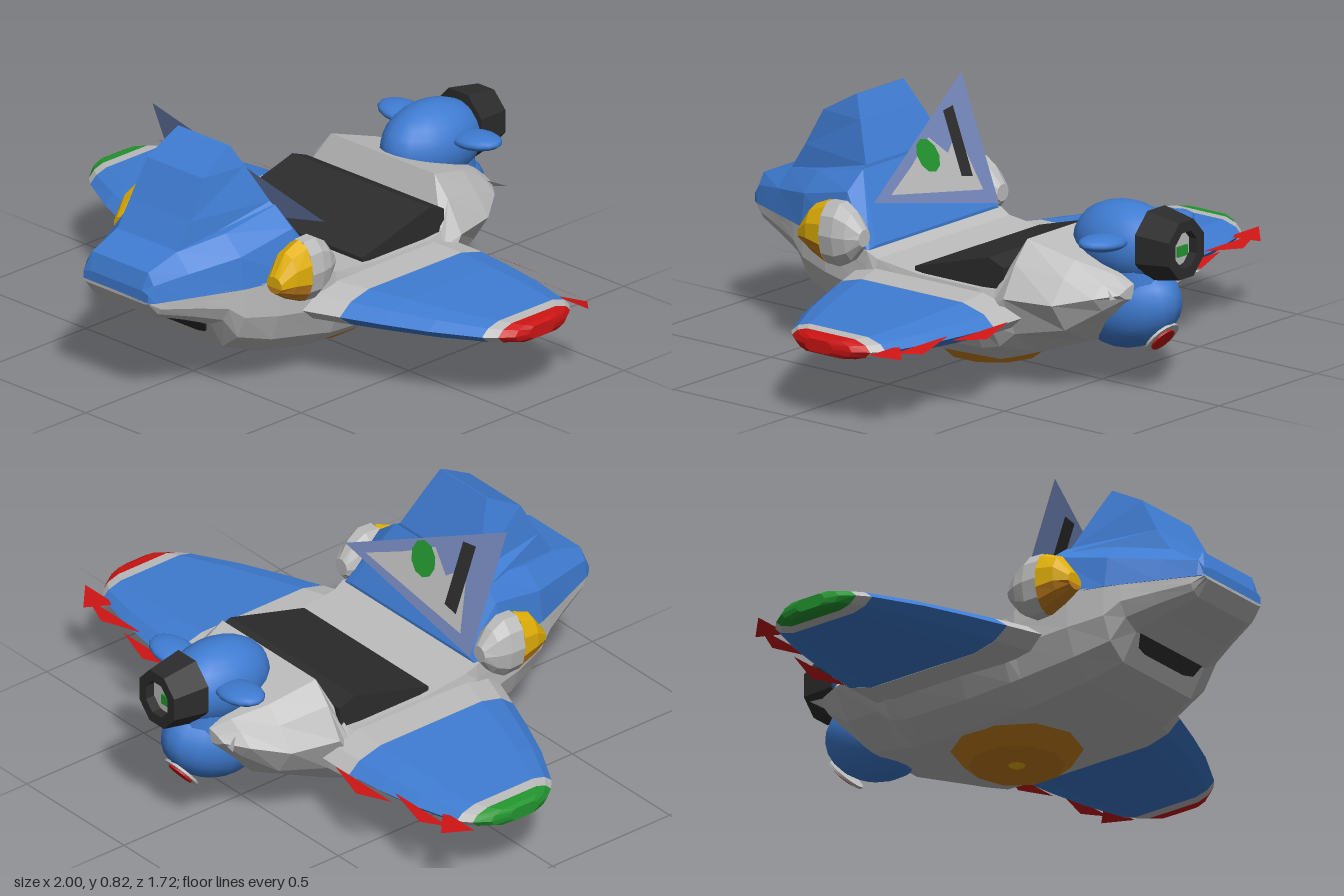
import * as THREE from 'three';

const mat = (name, color) => {
  const m = new THREE.MeshStandardMaterial({ color, side: THREE.DoubleSide });
  m.name = name;
  return m;
};

// Skin a list of cross-sections (arrays of [x, y, z]) and cap both ends, flat shaded
function loft(sections) {
  const n = sections[0].length, pos = [], idx = [];
  sections.forEach(s => s.forEach(p => pos.push(...p)));
  for (let i = 0; i < sections.length - 1; i++)
    for (let j = 0; j < n; j++) {
      const a = i * n + j, b = i * n + (j + 1) % n;
      idx.push(a, b, a + n, b, b + n, a + n);
    }
  const last = (sections.length - 1) * n;
  for (let j = 1; j < n - 1; j++) idx.push(0, j + 1, j, last, last + j, last + j + 1);
  return flat(pos, idx);
}

function flat(pos, idx) {
  let g = new THREE.BufferGeometry();
  g.setAttribute('position', new THREE.Float32BufferAttribute(pos, 3));
  if (idx) { g.setIndex(idx); g = g.toNonIndexed(); }
  g.computeVertexNormals();
  return g;
}

// Mirror half a cross-section, listed from bottom to top, into a closed loop at z
const ring = (z, half) => [
  ...half.map(([x, y]) => [x, y, z]),
  ...half.slice().reverse().map(([x, y]) => [-x, y, z]),
];

export function createModel() {
  const group = new THREE.Group();
  const blue = mat('blue', 0x3f7cd2), grey = mat('light grey', 0xbcbcbc), dark = mat('charcoal', 0x2c2c2c);
  const red = mat('red', 0xcc1414), green = mat('green', 0x23952f), yellow = mat('yellow', 0xe2b007);
  const orange = mat('orange', 0xc8801e), slate = mat('slate blue', 0x7488bc);
  const add = (name, geo, m, x = 0, y = 0, z = 0) => {
    const mesh = new THREE.Mesh(geo, m);
    mesh.name = name;
    mesh.position.set(x, y, z);
    group.add(mesh);
    return mesh;
  };

  // Lower hull: z, half width, bottom y, top y, bottom half width, top half width
  add('hull', loft([
    [0.86, 0.15, 0.385, 0.395, 0.13, 0.15],
    [0.82, 0.17, 0.33, 0.395, 0.13, 0.17],
    [0.70, 0.22, 0.29, 0.395, 0.16, 0.222],
    [0.60, 0.265, 0.25, 0.395, 0.18, 0.265],
    [0.545, 0.285, 0.155, 0.395, 0.18, 0.285],
    [0.42, 0.32, 0.11, 0.395, 0.21, 0.32],
    [0.22, 0.35, 0.075, 0.38, 0.23, 0.345],
    [0.18, 0.36, 0.072, 0.36, 0.23, 0.34],
    [0.00, 0.365, 0.065, 0.34, 0.23, 0.34],
    [-0.25, 0.365, 0.07, 0.34, 0.22, 0.34],
    [-0.32, 0.365, 0.09, 0.345, 0.2, 0.33],
    [-0.38, 0.365, 0.11, 0.51, 0.18, 0.24],
    [-0.55, 0.32, 0.165, 0.46, 0.12, 0.2],
    [-0.66, 0.24, 0.27, 0.42, 0.1, 0.14],
    [-0.715, 0.17, 0.33, 0.385, 0.08, 0.1],
  ].map(([z, w, yb, yt, wb, wt]) => {
    const h = yt - yb;
    return ring(z, [[wb, yb], [(wb + 2 * w) / 3, yb + h * 0.22], [w, yb + h * 0.55], [w * 0.5 + wt * 0.5, yb + h * 0.82], [wt, yt]]);
  })), grey);

  // Nose cowl
  add('noseCowl', loft([
    ring(0.86, [[0.15, 0.39], [0.15, 0.42], [0.12, 0.43]]),
    ring(0.84, [[0.165, 0.39], [0.155, 0.45], [0.13, 0.49]]),
    ring(0.72, [[0.215, 0.39], [0.20, 0.47], [0.14, 0.53]]),
    ring(0.55, [[0.287, 0.39], [0.27, 0.50], [0.20, 0.565]]),
    ring(0.34, [[0.337, 0.39], [0.30, 0.55], [0.22, 0.61]]),
    ring(0.22, [[0.34, 0.37], [0.33, 0.383], [0.30, 0.39]]),
  ]), blue);

  // Windshield block: half width front, y front, z front, half width back, y back, z back
  add('windshield', loft([
    [0.14, 0.52, 0.72, 0.25, 0.58, 0.34],
    [0.14, 0.62, 0.655, 0.2, 0.62, 0.345],
    [0.13, 0.75, 0.585, 0.15, 0.75, 0.41],
    [0.12, 0.822, 0.46, 0.12, 0.825, 0.45],
  ].map(([wf, yf, zf, wb, yb, zb]) => [[wf, yf, zf], [-wf, yf, zf], [-wb, yb, zb], [wb, yb, zb]])), blue);

  // Front grille
  const grilleShape = new THREE.Shape([[-0.16, 0.025], [-0.14, -0.02], [-0.1, -0.03], [0.1, -0.03], [0.14, -0.02], [0.16, 0.025]]
    .map(p => new THREE.Vector2(...p)));
  add('grille', new THREE.ExtrudeGeometry(grilleShape, { depth: 0.009, bevelEnabled: false }), dark, 0, 0.23, 0.588).rotation.x = Math.PI / 6;

  // Cockpit cover wedge
  const wedge = new THREE.Shape([[-0.035, 0.32], [-0.035, 0.358], [0.28, 0.445], [0.345, 0.42], [0.345, 0.32]]
    .map(p => new THREE.Vector2(...p)));
  const cover = new THREE.ExtrudeGeometry(wedge, { depth: 0.64, bevelEnabled: false });
  cover.rotateY(Math.PI / 2);
  add('cockpitCover', cover, dark, -0.32);

  // Display panel behind the windshield, with flat markings
  const C = new THREE.Vector3(-0.32, 0.4, 0.21), A = new THREE.Vector3(0.32, 0.54, 0.21), B = new THREE.Vector3(-0.32, 0.82, 0.37);
  const U = A.clone().sub(C), V = B.clone().sub(C), N = V.clone().cross(U).normalize();
  if (N.z > 0) N.negate();
  const onPanel = (pts, off) => {
    const p = pts.map(([u, v]) => C.clone().addScaledVector(U, u).addScaledVector(V, v).addScaledVector(N, off).toArray());
    const idx = [];
    for (let i = 1; i < p.length - 1; i++) idx.push(0, i, i + 1);
    return flat(p.flat(), idx);
  };
  const blob = (u, v, ru, rv) => Array.from({ length: 10 }, (_, i) => [u + ru * Math.cos(i * Math.PI / 5), v + rv * Math.sin(i * Math.PI / 5)]);
  add('displayPanel', onPanel([[0, 0], [1, 0], [0, 1]], 0), slate);
  add('displayMap', onPanel([[0.1, 0.1], [0.85, 0.06], [0.62, 0.28], [0.42, 0.5], [0.3, 0.38], [0.18, 0.55]], 0.003), grey);
  add('displaySpot', onPanel(blob(0.47, 0.36, 0.09, 0.13), 0.006), green);
  for (const off of [-0.004, 0.007]) add('displayStrip', onPanel([[0.16, 0.2], [0.25, 0.2], [0.25, 0.7], [0.16, 0.74]], off), dark);

  // Wing section: x, front z, rear z, half thickness
  const wingSection = (s, [x, f, r, t]) => {
    const y = 0.262, b = (f - r) * 0.12;
    return [[f, 0], [f - b * 0.6, 0.65], [f - b * 1.6, 1], [r + b * 1.6, 1], [r + b * 0.5, 0.6], [r, 0], [r + b * 0.5, -0.6],
      [r + b * 1.6, -1], [f - b * 1.6, -1], [f - b * 0.6, -0.65]].map(([z, k]) => [s * x, y + k * t, z]);
  };
  const arc = (cx, rx, ry, z, from, to, s) => Array.from({ length: 7 }, (_, i) => {
    const a = from + (to - from) * i / 6;
    return [s * (cx + rx * Math.cos(a)), 0.425 + ry * Math.sin(a) - (ry < 0.04 ? 0.02 : 0), z];
  });

  for (const s of [1, -1]) {
    const side = s > 0 ? 'left' : 'right';
    const wing = (name, list, m) => add(side + name, loft(list.map(l => wingSection(s, l))), m);
    wing('WingRoot', [[0.3, 0.34, -0.42, 0.068], [0.46, 0.28, -0.42, 0.062]], grey);
    wing('Wing', [[0.46, 0.28, -0.42, 0.061], [0.6, 0.225, -0.405, 0.054], [0.75, 0.16, -0.38, 0.046], [0.91, 0.07, -0.335, 0.037]], blue);
    wing('WingBand', [[0.91, 0.07, -0.335, 0.037], [0.95, 0.035, -0.3, 0.034]], grey);
    wing('WingTip', [[0.95, 0.035, -0.3, 0.034], [0.985, -0.01, -0.25, 0.03], [1.0, -0.06, -0.18, 0.022]], s > 0 ? red : green);

    // Red spikes along the trailing edge
    const spikes = [[0.4, -0.43, 0.55, -0.465, 0.69, -0.43], [0.65, -0.385, 0.82, -0.418, 0.93, -0.383], [0.84, -0.335, 0.92, -0.41, 1.0, -0.335]];
    spikes.forEach(([x1, z1, x2, z2, x3, z3]) =>
      add(side + 'WingSpike', flat([s * x1, 0.27, z1, s * x2, 0.25, z2, s * x3, 0.27, z3]), red));

    // Headlamp pods: grey housing, split lens
    const full = (rx, ry, z) => Array.from({ length: 10 }, (_, i) =>
      [s * (0.355 + rx * Math.cos(i * Math.PI / 5)), 0.425 + ry * Math.sin(i * Math.PI / 5), z]);
    add(side + 'LampHousing', loft([full(0.03, 0.03, 0.222), full(0.055, 0.085, 0.265), full(0.067, 0.113, 0.31), full(0.067, 0.11, 0.365)]), grey);
    const lens = (from, to) => loft([[0.067, 0.11, 0.365], [0.057, 0.082, 0.43], [0.035, 0.03, 0.48]]
      .map(([rx, ry, z]) => arc(0.355, rx, ry, z, from, to, s)));
    add(side + 'LampUpperLens', lens(-0.3, Math.PI + 0.3), yellow);
    add(side + 'LampLowerLens', lens(Math.PI + 0.3, Math.PI * 2 - 0.3), orange);

    // Tail ears and small grey barbs
    const ear = new THREE.SphereGeometry(1, 14, 10);
    ear.scale(0.1, 0.028, 0.07);
    add(side + 'TailEar', ear, blue, s * 0.17, 0.53, -0.645).rotation.z = s * 0.08;
    add(side + 'TailBarb', flat([s * 0.14, 0.4, -0.63, s * 0.23, 0.36, -0.725, s * 0.14, 0.34, -0.69]), grey);
  }

  // Tail head and lower tail bulge
  const head = new THREE.SphereGeometry(1, 18, 14);
  head.scale(0.135, 0.14, 0.2);
  add('tailHead', head, blue, 0, 0.49, -0.605);
  const bulge = new THREE.SphereGeometry(1, 16, 12);
  bulge.scale(0.135, 0.145, 0.2);
  add('tailBulge', bulge, blue, 0, 0.28, -0.62).rotation.x = 0.3;
  add('tailNeck', new THREE.CylinderGeometry(0.1, 0.12, 0.2, 12), blue, 0, 0.38, -0.66);

  // Round tail marker, tilted back and down
  const out = new THREE.Vector3(0, -0.62, -0.78).normalize();
  [[0.068, grey, 0.158], [0.046, red, 0.164]].forEach(([r, m, d]) => {
    const disc = add('tailMarker', new THREE.CylinderGeometry(r, r, 0.009, 16), m);
    disc.position.set(0, 0.285, -0.63).addScaledVector(out, d);
    disc.quaternion.setFromUnitVectors(new THREE.Vector3(0, 1, 0), out);
  });

  // Eight-sided nozzle with a pale core
  const profile = [[0.065, 0.05], [0.065, 0.13], [0.105, 0.13], [0.128, 0], [0.08, 0]].map(p => new THREE.Vector2(...p));
  const nozzle = new THREE.LatheGeometry(profile, 8, Math.PI / 8).toNonIndexed();
  nozzle.rotateX(-Math.PI / 2);
  nozzle.scale(0.92, 1, 1);
  nozzle.computeVertexNormals();
  add('nozzle', nozzle, dark, 0, 0.508, -0.73);
  add('nozzleCore', new THREE.CylinderGeometry(0.066, 0.066, 0.03, 8), grey, 0, 0.508, -0.81).rotation.x = Math.PI / 2;
  add('nozzleVane', new THREE.BoxGeometry(0.05, 0.035, 0.008), green, -0.015, 0.495, -0.829);

  // Belly thruster
  const belly = new THREE.CylinderGeometry(0.225, 0.16, 0.06, 10).toNonIndexed();
  belly.computeVertexNormals();
  add('bellyThruster', belly, orange, 0, 0.045, -0.04);
  add('bellyTip', new THREE.ConeGeometry(0.035, 0.018, 8), yellow, 0, 0.009, -0.04).rotation.x = Math.PI;
  return group;
}
